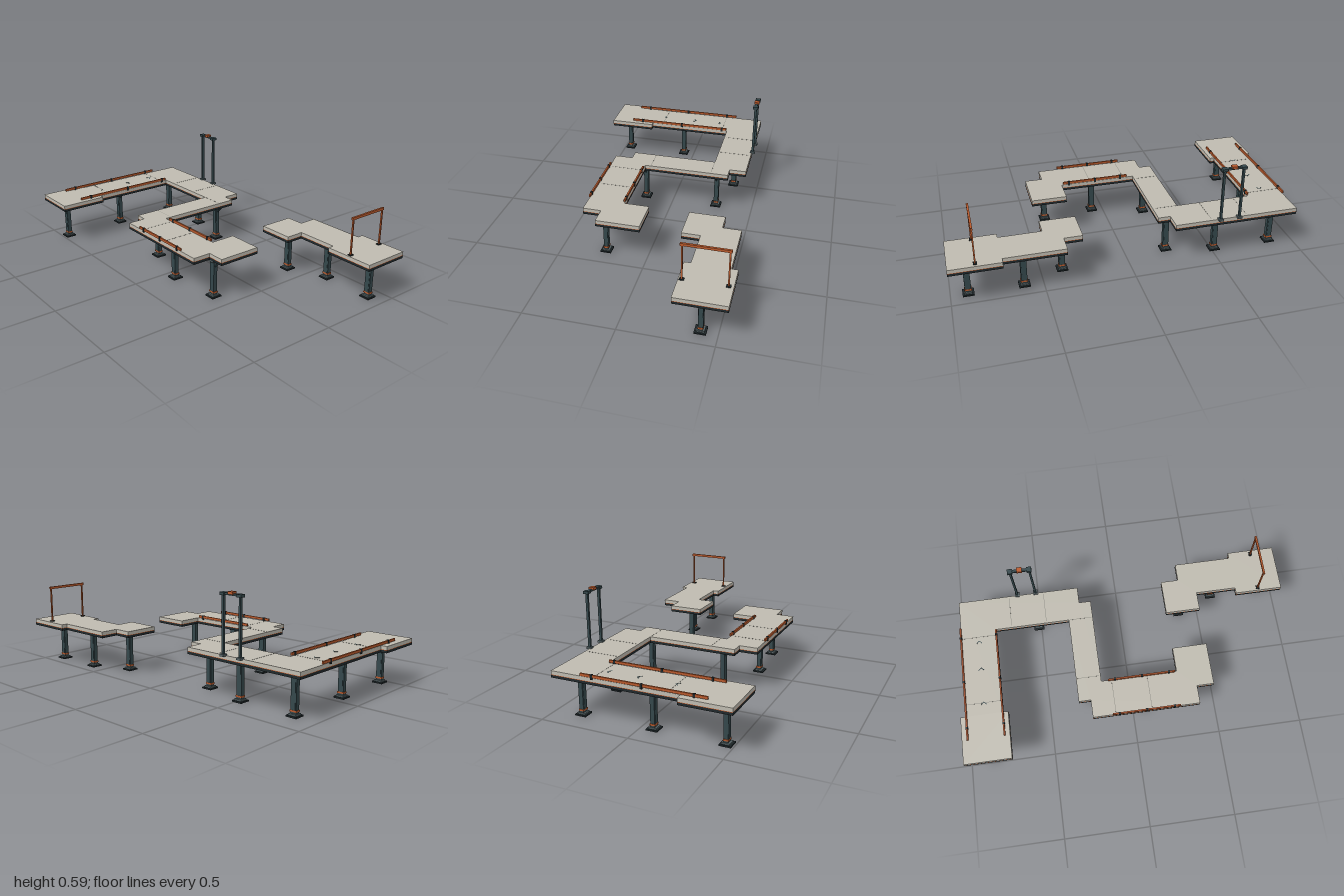
import * as THREE from 'three';

const mat = (color) => new THREE.MeshStandardMaterial({ color });
const concrete = mat(0xbfbbb0), steel = mat(0x34474b), dark = mat(0x1f282b);
const orange = mat(0xb8592c), seamMat = mat(0x8d8b83), plate = mat(0x59676a);

const TOP = 0.262;

// Box given by its centre in x/z and its bottom and top heights
function block(parent, name, material, x, z, y0, y1, w, d) {
  const m = new THREE.Mesh(new THREE.BoxGeometry(w, y1 - y0, d), material);
  m.position.set(x, (y0 + y1) / 2, z);
  m.name = name;
  parent.add(m);
  return m;
}

// Layered deck from a plan outline of [x, z] corners
function deck(parent, name, outline) {
  const g = new THREE.Group();
  g.name = name;
  const shape = new THREE.Shape(outline.map(([x, z]) => new THREE.Vector2(x, -z)));
  const layers = [
    ['deckFrame', dark, 0.225, 0.239],
    ['deckTrim', orange, 0.239, 0.242],
    ['deckSlab', concrete, 0.242, TOP],
  ];
  for (const [label, material, y0, y1] of layers) {
    const geo = new THREE.ExtrudeGeometry(shape, { depth: y1 - y0, bevelEnabled: false });
    geo.rotateX(-Math.PI / 2).translate(0, y0, 0);
    const m = new THREE.Mesh(geo, material);
    m.name = label;
    g.add(m);
  }
  parent.add(g);
}

// Support pier with stepped foot, collar, cap and diagonal strut
function pier(parent, x, z) {
  const g = new THREE.Group();
  g.name = 'pier';
  block(g, 'footPlate', dark, 0, 0, 0, 0.008, 0.062, 0.062);
  block(g, 'footStep', plate, 0, 0, 0.008, 0.016, 0.044, 0.044);
  block(g, 'column', steel, 0, 0, 0.016, 0.213, 0.034, 0.024);
  block(g, 'columnRib', steel, 0, 0, 0.03, 0.205, 0.024, 0.028);
  block(g, 'collar', orange, 0, 0, 0.025, 0.034, 0.039, 0.029);
  block(g, 'cap', plate, 0, 0, 0.213, 0.225, 0.046, 0.046);
  const strut = block(g, 'strut', steel, 0.027, 0, 0.168, 0.222, 0.006, 0.008);
  strut.rotation.z = -Math.PI / 4;
  g.position.set(x, 0, z);
  parent.add(g);
}

// Low edge rail between two points, with clips along it
function rail(parent, x0, z0, x1, z1, clips) {
  const g = new THREE.Group();
  g.name = 'edgeRail';
  const alongX = z0 === z1;
  const cx = (x0 + x1) / 2, cz = (z0 + z1) / 2;
  block(g, 'railBar', orange, cx, cz, 0.265, 0.279,
    alongX ? x1 - x0 : 0.009, alongX ? 0.009 : z1 - z0);
  for (const c of clips) {
    block(g, 'railClip', dark, alongX ? c : cx, alongX ? cz : c, 0.255, 0.281, 0.012, 0.012);
  }
  parent.add(g);
}

export function createModel() {
  const model = new THREE.Group();
  model.name = 'elevatedWalkway';

  deck(model, 'mainDeck', [
    [-1, 0.545], [-0.725, 0.545], [-0.725, 0.27], [-0.755, 0.27], [-0.755, -0.245],
    [-0.315, -0.245], [-0.315, 0.27], [-0.245, 0.27], [-0.245, 0.375], [0.38, 0.375],
    [0.38, 0.27], [0.48, 0.27], [0.48, 0.02], [0.275, 0.02], [0.275, 0.165],
    [-0.17, 0.165], [-0.17, -0.35], [-0.24, -0.35], [-0.24, -0.45], [-0.965, -0.45],
    [-0.965, 0.27], [-1, 0.27],
  ]);
  deck(model, 'farDeck', [
    [0.275, -0.21], [0.48, -0.21], [0.48, -0.315], [0.72, -0.315], [0.72, -0.28], [1, -0.28],
    [1, -0.555], [0.72, -0.555], [0.72, -0.52], [0.38, -0.52], [0.38, -0.415], [0.275, -0.415],
  ]);

  // Piers
  for (const [x, z] of [
    [-0.86, 0.46], [-0.86, 0.07], [-0.86, -0.343], [-0.515, -0.343], [-0.24, -0.275],
    [-0.24, 0.175], [0.07, 0.275], [0.38, 0.243],
    [0.38, -0.317], [0.605, -0.41], [0.905, -0.41],
  ]) pier(model, x, z);

  // Edge rails
  rail(model, -0.965, -0.275, -0.965, 0.41, [-0.21, 0.065, 0.34]);
  rail(model, -0.755, -0.24, -0.755, 0.41, [-0.21, 0.065, 0.34]);
  rail(model, -0.13, 0.167, 0.265, 0.167, [-0.09, 0.07, 0.23]);
  rail(model, -0.13, 0.375, 0.265, 0.375, [-0.09, 0.07, 0.23]);

  // Slab seams
  const seam = (x, z, w, d) => block(model, 'slabSeam', seamMat, x, z, TOP - 0.002, TOP + 0.0006, w, d);
  for (const x of [-0.66, -0.45]) seam(x, -0.347, 0.003, 0.18);
  for (const x of [-0.11, 0.1]) seam(x, 0.27, 0.003, 0.18);
  for (const z of [-0.21, 0.2]) seam(-0.86, z, 0.19, 0.003);
  for (const z of [-0.245, 0.13]) seam(-0.243, z, 0.13, 0.003);

  // Floor chevrons pointing to the back
  for (const z of [-0.177, -0.007, 0.203]) {
    for (const s of [-1, 1]) {
      const c = block(model, 'floorChevron', steel, -0.86 + s * 0.008, z, TOP - 0.001, TOP + 0.001, 0.024, 0.004);
      c.rotation.y = -s * Math.PI / 4;
    }
  }

  // Tall beacon frame at the back edge
  const beacon = new THREE.Group();
  beacon.name = 'beaconFrame';
  for (const x of [-0.608, -0.497]) {
    block(beacon, 'beaconFoot', plate, x, -0.455, TOP - 0.004, 0.27, 0.026, 0.03);
    block(beacon, 'beaconPost', steel, x, -0.455, 0.268, 0.572, 0.012, 0.014);
    block(beacon, 'beaconBracket', steel, x, -0.455, 0.567, 0.582, 0.028, 0.03);
  }
  block(beacon, 'beaconBar', steel, -0.5525, -0.455, 0.57, 0.581, 0.135, 0.016);
  block(beacon, 'beaconLamp', orange, -0.5525, -0.455, 0.576, 0.59, 0.03, 0.03);
  model.add(beacon);

  // Finish gate on the far deck
  const gate = new THREE.Group();
  gate.name = 'finishGate';
  for (const z of [-0.299, -0.529]) {
    block(gate, 'gateFoot', dark, 0.857, z, TOP - 0.004, 0.267, 0.02, 0.024);
    block(gate, 'gatePost', orange, 0.857, z, 0.265, 0.465, 0.008, 0.008);
  }
  block(gate, 'gateBar', orange, 0.857, -0.413, 0.463, 0.477, 0.011, 0.25);
  model.add(gate);

  return model;
}
